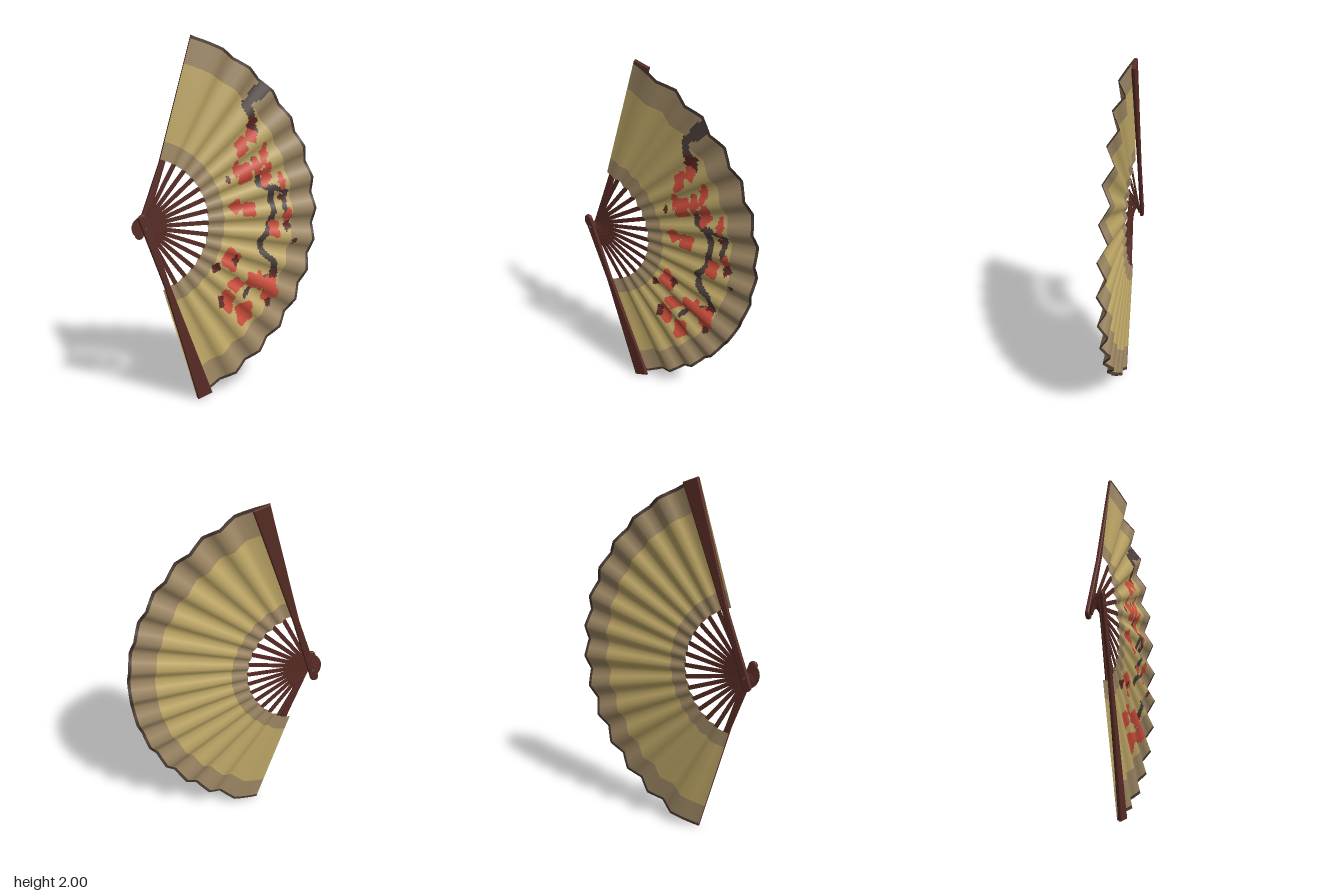
import * as THREE from 'three';

const mat = (name, color) => {
  const m = new THREE.MeshStandardMaterial({ color });
  m.name = name;
  return m;
};
const DEG = Math.PI / 180;
const PIVOT_X = -0.485, R_IN = 0.368, R_OUT = 1.036;
const END = 74, FOLD = 64.4, HALF = (2 * FOLD) / 25;

// Fold lines of the pleated leaf: wide end panels, 25 even panels between
const folds = [[-END, 1]];
for (let i = 0; i <= 25; i++) folds.push([-FOLD + HALF * i, i % 2 ? 1 : -1]);
folds.push([END, -1]);

// Painted blossoms: x, y, half width, half height
const blossoms = [
  [0.08, 1.41, 0.035, 0.06], [0.14, 1.47, 0.035, 0.04], [0.05, 1.29, 0.02, 0.045], [0.1, 1.26, 0.045, 0.065],
  [0.22, 1.37, 0.025, 0.06], [0.235, 1.25, 0.035, 0.07], [0.33, 1.21, 0.022, 0.05], [0.05, 1.08, 0.04, 0.04],
  [0.13, 1.06, 0.045, 0.045], [0.29, 0.94, 0.035, 0.06], [0.37, 1.01, 0.03, 0.04], [0.02, 0.78, 0.055, 0.065],
  [0.05, 0.63, 0.05, 0.04], [0.0, 0.54, 0.04, 0.07], [0.1, 0.46, 0.05, 0.08], [0.15, 0.65, 0.04, 0.05],
  [0.26, 0.59, 0.05, 0.09], [0.17, 1.3, 0.03, 0.05], [0.2, 0.64, 0.03, 0.05],
];
const darkBlossoms = [
  [0.145, 1.54, 0.035, 0.04], [0.375, 0.95, 0.025, 0.03], [0.415, 0.86, 0.014, 0.02], [-0.07, 0.74, 0.025, 0.03],
  [-0.04, 0.54, 0.02, 0.04], [0.255, 0.5, 0.015, 0.03], [0.29, 0.67, 0.03, 0.025], [0.0, 1.23, 0.013, 0.02],
  [0.33, 1.12, 0.02, 0.02], [0.05, 0.77, 0.02, 0.03],
];
// Painted branches: half thickness, then points
const branches = [
  [0.036, [0.22, 1.74], [0.16, 1.69]],
  [0.024, [0.17, 1.7], [0.11, 1.64], [0.14, 1.56], [0.16, 1.5]],
  [0.018, [0.16, 1.34], [0.18, 1.27], [0.19, 1.2], [0.26, 1.17], [0.28, 1.05], [0.25, 0.93], [0.2, 0.88], [0.21, 0.81]],
  [0.015, [0.27, 1.18], [0.36, 1.15], [0.35, 1.06], [0.38, 0.97]],
  [0.018, [0.21, 0.81], [0.28, 0.75], [0.3, 0.66], [0.22, 0.65], [0.24, 0.55], [0.26, 0.5]],
  [0.013, [0.22, 0.65], [0.16, 0.63], [0.1, 0.56]],
];

const inBlob = (list, x, y) => list.some(([cx, cy, w, h]) => {
  const a = Math.atan2(y - cy, x - cx);
  return Math.hypot((x - cx) / w, (y - cy) / h) < 0.98 + 0.16 * Math.sin(4 * a + cx * 40);
});
const nearSegment = (x, y, [ax, ay], [bx, by]) => {
  const dx = bx - ax, dy = by - ay;
  const t = THREE.MathUtils.clamp(((x - ax) * dx + (y - ay) * dy) / (dx * dx + dy * dy), 0, 1);
  return Math.hypot(x - ax - t * dx, y - ay - t * dy);
};
const onBranch = (x, y) => branches.some(([w, ...p]) =>
  p.slice(1).some((q, i) => nearSegment(x, y, p[i], q) < w));

// Material index for a spot on the leaf
function paint(r, x, y, front) {
  if (r > 1.019) return 2;
  if (front) {
    if (inBlob(darkBlossoms, x, y)) return 5;
    if (inBlob(blossoms, x, y)) return 4;
    if (onBranch(x, y)) return 3;
  }
  return r < 0.46 || r > 0.885 ? 1 : 0;
}

// One face of the pleated leaf, sorted into a group for each colour
function leafGeometry(radii, steps, front) {
  const buckets = Array.from({ length: 6 }, () => ({ p: [], n: [] }));
  const sign = front ? 1 : -1;
  // Position and softly rounded normal at a radius and a fraction of a panel
  const vertex = (r, panel, t) => {
    const [a0, s0] = folds[panel], [a1, s1] = folds[panel + 1];
    const a = THREE.MathUtils.lerp(a0, a1, t) * DEG;
    const amp = 0.008 + 0.017 * (r - R_IN) / (R_OUT - R_IN);
    const z = THREE.MathUtils.lerp(s0, s1, t) * amp - 0.004 + sign * 0.001;
    const slope = (1 - Math.abs(2 * t - 1)) * (s1 - s0) * amp / (r * (a1 - a0) * DEG);
    const n = new THREE.Vector3(Math.sin(a) * slope, -Math.cos(a) * slope, 1).normalize();
    return { p: new THREE.Vector3(r * Math.cos(a), r * Math.sin(a), z), n: n.multiplyScalar(sign) };
  };
  for (let panel = 0; panel < folds.length - 1; panel++)
    for (let j = 0; j < steps; j++)
      for (let i = 0; i < radii.length - 1; i++) {
        const a = vertex(radii[i], panel, j / steps), b = vertex(radii[i + 1], panel, j / steps);
        const c = vertex(radii[i + 1], panel, (j + 1) / steps), d = vertex(radii[i], panel, (j + 1) / steps);
        const mid = a.p.clone().add(c.p).multiplyScalar(0.5);
        const k = paint((radii[i] + radii[i + 1]) / 2, mid.x + PIVOT_X, mid.y + 1, front);
        for (const v of front ? [a, b, c, a, c, d] : [a, c, b, a, d, c]) {
          buckets[k].p.push(...v.p);
          buckets[k].n.push(...v.n);
        }
      }
  const g = new THREE.BufferGeometry();
  g.setAttribute('position', new THREE.Float32BufferAttribute(buckets.flatMap((b) => b.p), 3));
  g.setAttribute('normal', new THREE.Float32BufferAttribute(buckets.flatMap((b) => b.n), 3));
  let start = 0;
  buckets.forEach(({ p }, k) => {
    if (p.length) g.addGroup(start, p.length / 3, k);
    start += p.length / 3;
  });
  return g;
}

// Flat tapered stick along +x with a rounded head behind the pivot
function stickGeometry(head, tail, upper, lower, depth, bevel) {
  const s = new THREE.Shape();
  s.moveTo(-tail + head, -head);
  lower.forEach(([x, y]) => s.lineTo(x, y));
  [...upper].reverse().forEach(([x, y]) => s.lineTo(x, y));
  s.lineTo(-tail + head, head);
  s.absarc(-tail + head, 0, head, Math.PI / 2, Math.PI * 1.5, false);
  return new THREE.ExtrudeGeometry(s, {
    depth: depth - 2 * bevel, bevelEnabled: bevel > 0, bevelThickness: bevel,
    bevelSize: bevel, bevelOffset: -bevel, bevelSegments: 3, curveSegments: 8,
  }).translate(0, 0, bevel - depth / 2);
}

export function createModel() {
  const wood = mat('dark red wood', 0x592c25);
  const metal = mat('rivet metal', 0x55504a);
  const leafMats = [
    mat('gold paper', 0xc2aa68), mat('tan border', 0xa18a66), mat('dark rim', 0x4b3c34),
    mat('branch paint', 0x4d403d), mat('blossom red', 0xcf4f3c), mat('deep blossom red', 0x5f2a26),
  ];
  leafMats.forEach((m) => { m.side = THREE.DoubleSide; });
  const model = new THREE.Group();
  const fan = new THREE.Group();
  fan.name = 'foldingFan';
  fan.position.set(PIVOT_X, 1, 0);
  model.add(fan);
  const add = (parent, name, geometry, material) => {
    const m = new THREE.Mesh(geometry, material);
    m.name = name;
    parent.add(m);
    return m;
  };

  // Pleated leaf, painted front and plain back
  const fine = Array.from({ length: 85 }, (_, i) => R_IN + (R_OUT - R_IN) * i / 84);
  add(fan, 'leafFront', leafGeometry(fine, 8, true), leafMats);
  add(fan, 'leafBack', leafGeometry([R_IN, 0.46, 0.6, 0.75, 0.885, 1.019, R_OUT], 4, false), leafMats);

  // Thin ribs stacked on the rivet, each meeting the middle of a panel
  const ribGeo = stickGeometry(0.016, 0.065, [[0.1, 0.011], [0.372, 0.012]], [[0.1, -0.011], [0.372, -0.012]], 0.005, 0);
  for (let k = -6; k <= 6; k++) {
    const holder = new THREE.Group();
    holder.name = 'ribHolder';
    holder.rotation.z = k * 2 * HALF * DEG;
    fan.add(holder);
    const z = -k * 0.0028;
    const rib = add(holder, 'rib', ribGeo, wood);
    rib.position.z = z;
    rib.rotation.y = Math.atan((z + 0.004) / 0.372);
  }

  // Guard sticks: front one along the lower edge, back one along the upper edge
  const guardGeo = stickGeometry(0.024, 0.075, [[0.35, 0.038], [1.036, 0.09]], [[0.35, 0.004], [1.04, 0]], 0.021, 0.007);
  for (const [name, flip] of [['frontGuard', 0], ['backGuard', Math.PI]]) {
    const side = new THREE.Group();
    side.name = name + 'Side';
    side.rotation.x = flip;
    fan.add(side);
    const guard = add(side, name, guardGeo, wood);
    guard.rotation.z = -END * DEG;
    guard.position.z = flip ? 0.038 : 0.034;
  }

  // Rivet through every stick
  add(fan, 'rivet', new THREE.CylinderGeometry(0.007, 0.007, 0.104, 12).rotateX(Math.PI / 2), metal);
  return model;
}
